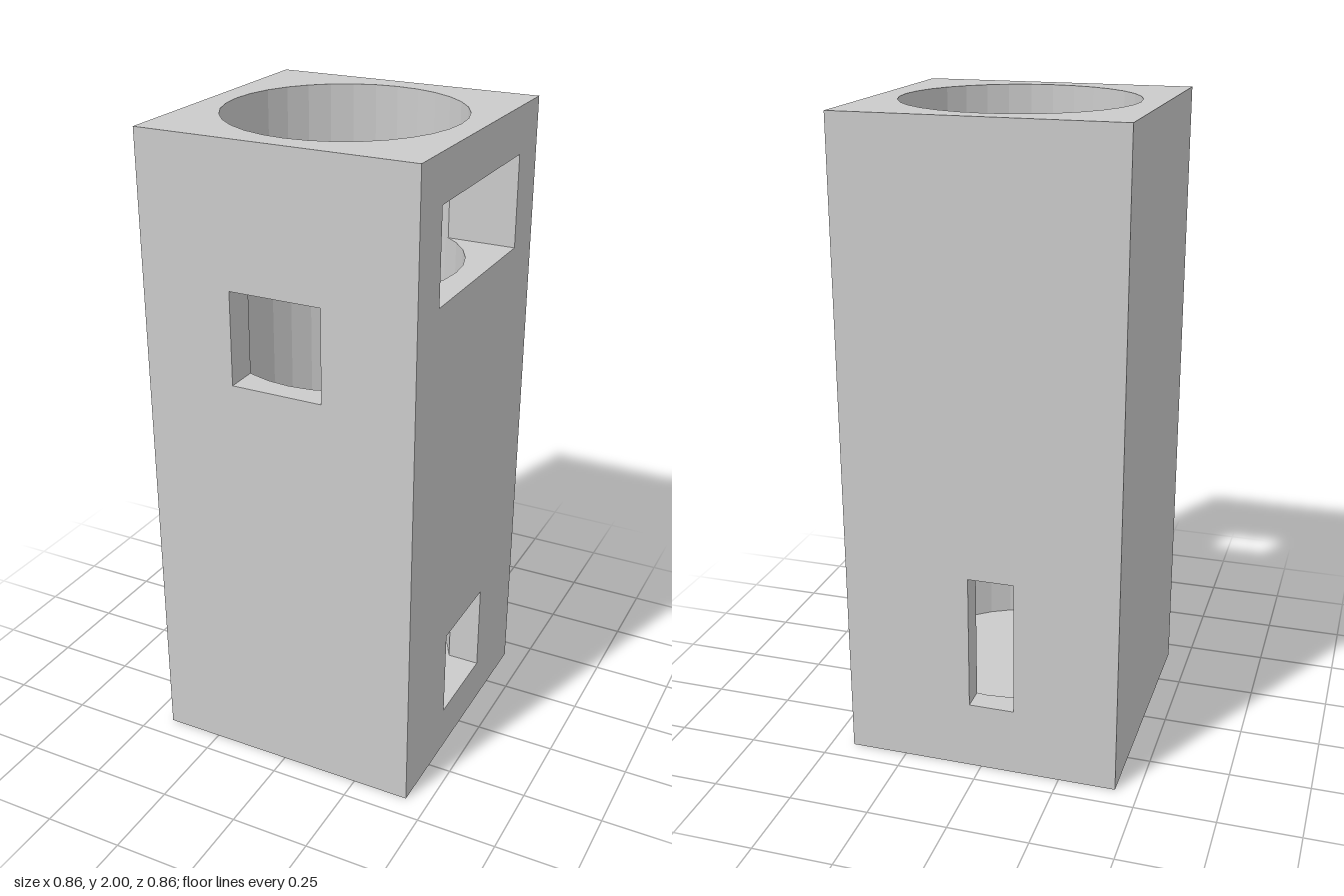
import * as THREE from 'three';

const U = 1 / 7;                 // design module
const H = 3 * U;                 // half width of the block
const R = 2.5 * U;               // bore radius
const SIDES = 32;
const STEP = (2 * Math.PI) / SIDES;
const TOP = 2, FLOOR = U;

// Openings: side rotation about y, lateral range a..b, height range y0..y1
const windows = [
  { name: 'frontWindow', turn: 0, a: -U, b: U, y0: 9 * U, y1: 11 * U },
  { name: 'upperSideWindow', turn: Math.PI / 2, a: -2 * U, b: 2 * U, y0: 11 * U, y1: 13 * U },
  { name: 'lowerSideWindow', turn: Math.PI / 2, a: -U, b: U, y0: U, y1: 3 * U },
  { name: 'backSlot', turn: Math.PI, a: -0.25 * U, b: 0.75 * U, y0: 1.5 * U, y1: 4.5 * U },
];
const sides = [['frontWall', 0], ['leftWall', Math.PI / 2], ['backWall', Math.PI], ['rightWall', -Math.PI / 2]];

const material = new THREE.MeshStandardMaterial({ color: 0xcccccc, flatShading: true });

function add(parent, name, geometry) {
  const mesh = new THREE.Mesh(geometry, material);
  mesh.name = name;
  parent.add(mesh);
  return mesh;
}

// Flat geometry from quads of [x, y, z] corners
function quads(list) {
  const pos = list.flatMap(([a, b, c, d]) => [a, b, c, a, c, d].flat());
  const g = new THREE.BufferGeometry();
  g.setAttribute('position', new THREE.Float32BufferAttribute(pos, 3));
  g.computeVertexNormals();
  return g;
}

const rectangle = (x0, x1, y0, y1) =>
  [[x0, y0], [x1, y0], [x1, y1], [x0, y1]].map(p => new THREE.Vector2(...p));

// Turn a point (t sideways, d outwards) to the given side
const turned = (t, d, turn) => {
  const c = Math.cos(turn), s = Math.sin(turn);
  return [t * c + d * s, d * c - t * s];
};

// Depth of the faceted bore at sideways position t
function boreDepth(t) {
  const k = Math.floor(Math.asin(t / R) / STEP);
  const t0 = R * Math.sin(k * STEP), t1 = R * Math.sin((k + 1) * STEP);
  const f = (t - t0) / (t1 - t0);
  return R * THREE.MathUtils.lerp(Math.cos(k * STEP), Math.cos((k + 1) * STEP), f);
}

// Bore wall, split into columns at the facets and at the window edges
function boreGeometry() {
  const points = [];
  for (let i = 0; i < SIDES; i++) points.push([R * Math.sin(i * STEP), R * Math.cos(i * STEP)]);
  for (const w of windows)
    for (const t of [w.a, w.b]) points.push(turned(t, boreDepth(t), w.turn));
  points.sort((p, q) => Math.atan2(p[0], p[1]) - Math.atan2(q[0], q[1]));

  const list = [];
  points.forEach((p, i) => {
    const q = points[(i + 1) % points.length];
    if (Math.hypot(p[0] - q[0], p[1] - q[1]) < 1e-5) return;
    const open = windows.filter(w => {
      const [t, d] = turned((p[0] + q[0]) / 2, (p[1] + q[1]) / 2, -w.turn);
      return d > 0 && t > w.a && t < w.b;
    }).sort((v, w) => v.y0 - w.y0);
    let y = FLOOR;
    for (const { y0, y1 } of [...open, { y0: TOP, y1: TOP }]) {
      if (y0 - y > 1e-6)
        list.push([[q[0], y, q[1]], [p[0], y, p[1]], [p[0], y0, p[1]], [q[0], y0, q[1]]]);
      y = y1;
    }
  });
  return quads(list);
}

// Sill, lintel and jambs between the outer face and the bore
function windowReveal({ name, turn, a, b, y0, y1 }) {
  const group = new THREE.Group();
  group.name = name;
  group.rotation.y = turn;
  const outline = [[a, H], [a, boreDepth(a)]];
  for (let k = -SIDES / 4; k <= SIDES / 4; k++) {
    const t = R * Math.sin(k * STEP);
    if (t > a + 1e-6 && t < b - 1e-6) outline.push([t, R * Math.cos(k * STEP)]);
  }
  outline.push([b, boreDepth(b)], [b, H]);

  const plate = sign => new THREE.ShapeGeometry(
    new THREE.Shape(outline.map(([t, d]) => new THREE.Vector2(t, sign * d)))
  ).rotateX(sign * Math.PI / 2);
  add(group, 'sill', plate(-1).translate(0, y0, 0));
  add(group, 'lintel', plate(1).translate(0, y1, 0));

  const jamb = (t, d0, d1) => [[t, y0, d0], [t, y0, d1], [t, y1, d1], [t, y1, d0]];
  add(group, 'jambs', quads([jamb(a, H, boreDepth(a)), jamb(b, boreDepth(b), H)]));
  return group;
}

export function createModel() {
  const model = new THREE.Group();
  model.name = 'hollowTower';

  // Outer walls with their openings
  for (const [name, turn] of sides) {
    const shape = new THREE.Shape(rectangle(-H, H, 0, TOP));
    for (const w of windows)
      if (w.turn === turn) shape.holes.push(new THREE.Path(rectangle(w.a, w.b, w.y0, w.y1).reverse()));
    add(model, name, new THREE.ShapeGeometry(shape).translate(0, 0, H).rotateY(turn));
  }

  // Top rim around the bore, and the underside
  const rim = new THREE.Shape(rectangle(-H, H, -H, H));
  const ring = [];
  for (let i = 0; i < SIDES; i++)
    ring.push(new THREE.Vector2(R * Math.sin(i * STEP), R * Math.cos(i * STEP)));
  rim.holes.push(new THREE.Path(ring));
  add(model, 'topRim', new THREE.ShapeGeometry(rim).rotateX(-Math.PI / 2).translate(0, TOP, 0));
  add(model, 'underside', new THREE.PlaneGeometry(2 * H, 2 * H).rotateX(Math.PI / 2));

  // Round shaft and its floor
  add(model, 'boreWall', boreGeometry());
  add(model, 'boreFloor', new THREE.CircleGeometry(R, SIDES).rotateX(-Math.PI / 2).translate(0, FLOOR, 0));

  for (const w of windows) model.add(windowReveal(w));
  return model;
}
